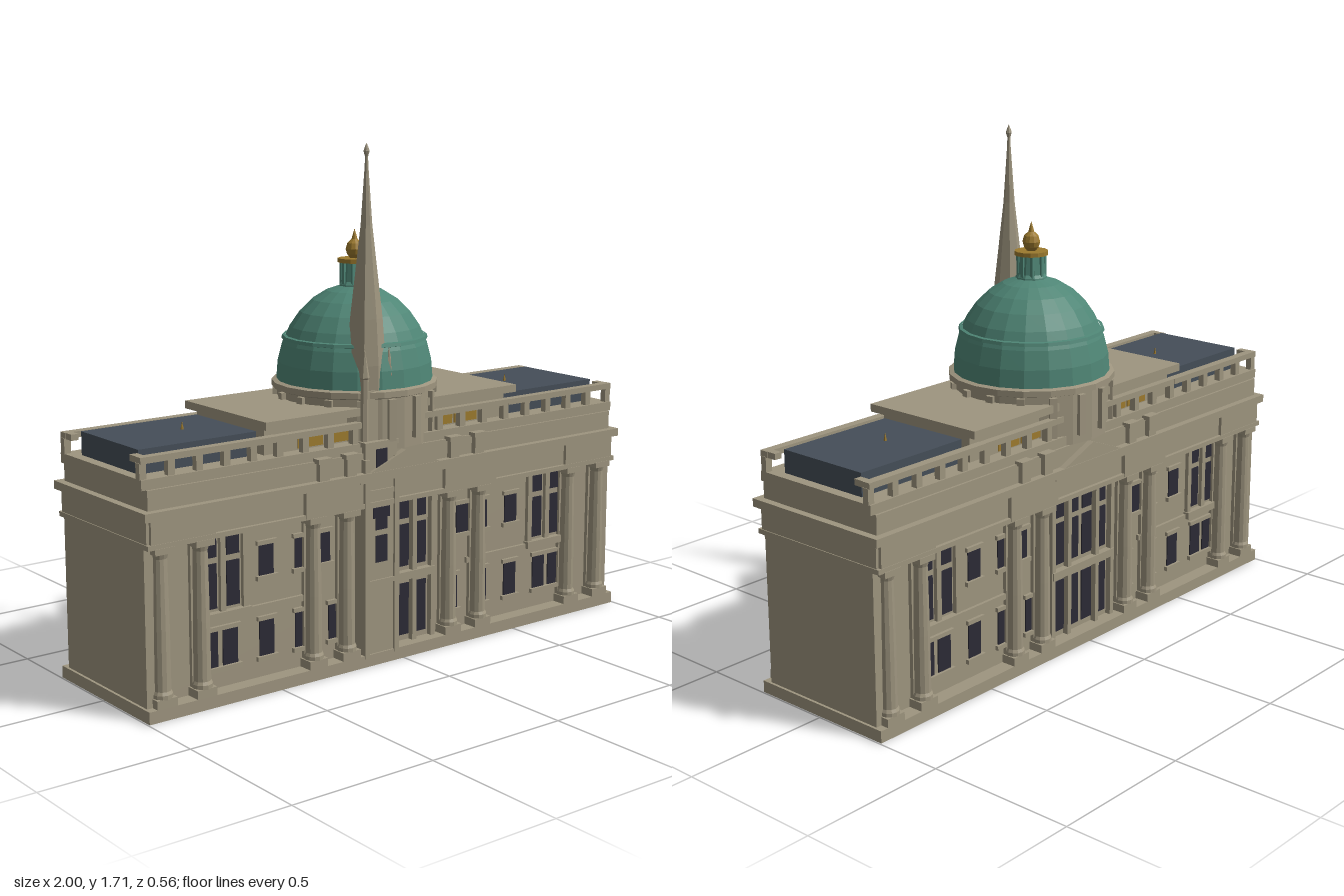
import * as THREE from 'three';

const mat = (name, color) => {
  const m = new THREE.MeshStandardMaterial({ color, flatShading: true });
  m.name = name;
  return m;
};

export function createModel() {
  const root = new THREE.Group();
  root.name = 'domedHall';
  const stone = mat('stone', 0x9e957f);
  const green = mat('copperGreen', 0x4f8676);
  const slate = mat('slate', 0x454e58);
  const glass = mat('darkGlass', 0x2b2a35);
  const gold = mat('gold', 0x9c7a2e);

  const add = (name, geo, m, parent = root) => {
    const mesh = new THREE.Mesh(geo, m);
    mesh.name = name;
    parent.add(mesh);
    return mesh;
  };
  // box given by its extents
  const box = (name, x0, x1, y0, y1, z0, z1, m = stone, parent = root) => {
    const b = add(name, new THREE.BoxGeometry(x1 - x0, y1 - y0, z1 - z0), m, parent);
    b.position.set((x0 + x1) / 2, (y0 + y1) / 2, (z0 + z1) / 2);
    return b;
  };
  const lathe = (name, pts, sides, m, x = 0, z = 0, parent = root) => {
    const g = new THREE.LatheGeometry(pts.map(p => new THREE.Vector2(p[0], p[1])), sides);
    const l = add(name, g, m, parent);
    l.position.set(x, 0, z);
    return l;
  };

  // main mass and horizontal mouldings
  box('plinth', -0.995, 0.995, 0, 0.04, -0.268, 0.268);
  box('mainBody', -0.96, 0.96, 0.04, 0.56, -0.215, 0.215);
  box('entablature', -0.985, 0.985, 0.55, 0.63, -0.255, 0.255);
  box('architraveMoulding', -0.988, 0.988, 0.54, 0.556, -0.268, 0.268);
  box('cornice', -1, 1, 0.63, 0.657, -0.275, 0.275);
  box('attic', -0.975, 0.975, 0.657, 0.72, -0.25, 0.25);
  box('parapetBase', -0.99, 0.99, 0.72, 0.752, -0.242, 0.242);

  // upper roof storey, centre slab and slate roofs
  box('roofStorey', -0.51, 0.51, 0.752, 0.84, -0.19, 0.19);
  box('roofSlab', -0.53, 0.53, 0.84, 0.866, -0.23, 0.23);
  for (const s of [-1, 1]) {
    const mid = s * 0.74;
    box('slateRoof', mid - 0.215, mid + 0.215, 0.752, 0.828, -0.17, 0.17, slate);
    lathe('roofFinial', [[0.006, 0.825], [0.004, 0.835], [0, 0.855]], 6, gold, s * 0.69);
    box('endWall', s * 0.97 - 0.016, s * 0.97 + 0.016, 0.04, 0.55, -0.24, 0.24);
  }

  // column: square base, tapered shaft, capital
  const column = (x, parent) => {
    box('columnBase', x - 0.036, x + 0.036, 0.04, 0.068, 0.2, 0.268, stone, parent);
    lathe('columnShaft', [[0.033, 0.066], [0.033, 0.08], [0.028, 0.09], [0.027, 0.28],
      [0.023, 0.505], [0.029, 0.525]], 12, stone, x, 0.238, parent);
    box('columnCapital', x - 0.034, x + 0.034, 0.522, 0.542, 0.205, 0.27, stone, parent);
    box('pilaster', x - 0.03, x + 0.03, 0.04, 0.55, 0.2, 0.228, stone, parent);
  };
  // window: dark pane with sill and lintel
  const win = (x, y0, y1, w, parent, trim = true) => {
    box('windowPane', x - w, x + w, y0, y1, 0.212, 0.219, glass, parent);
    if (!trim) return;
    box('windowSill', x - w - 0.012, x + w + 0.012, y0 - 0.015, y0, 0.212, 0.228, stone, parent);
    box('windowLintel', x - w - 0.01, x + w + 0.01, y1, y1 + 0.014, 0.212, 0.226, stone, parent);
  };

  // one facade, used for the front and, turned around, for the back
  const facade = (name) => {
    const f = new THREE.Group();
    f.name = name;
    root.add(f);
    for (const s of [-1, 1]) {
      for (const x of [0.22, 0.355, 0.785, 0.93]) column(s * x, f);
      for (const x of [0.25, 0.385, 0.525, 0.665, 0.74]) win(s * x, 0.11, 0.228, 0.028, f);
      for (const x of [0.3, 0.385, 0.525]) win(s * x, 0.375, 0.475, 0.028, f);
      for (const x of [0.652, 0.737]) {
        win(s * x, 0.3, 0.445, 0.024, f, false);
        win(s * x, 0.465, 0.535, 0.024, f, false);
      }
      for (const x of [0.61, 0.695, 0.775])
        box('windowPier', s * x - 0.01, s * x + 0.01, 0.28, 0.54, 0.21, 0.229, stone, f);
      box('windowBalcony', s * 0.695 - 0.1, s * 0.695 + 0.1, 0.265, 0.29, 0.21, 0.238, stone, f);
      box('stringCourse', s * 0.455 - 0.14, s * 0.455 + 0.14, 0.262, 0.282, 0.21, 0.226, stone, f);
      // tall central windows
      for (const x of [0.035, 0.11]) {
        win(s * x, 0.06, 0.24, 0.026, f, false);
        win(s * x, 0.3, 0.445, 0.025, f, false);
        win(s * x, 0.465, 0.54, 0.025, f, false);
      }
      for (const x of [0.073, 0.155])
        box('centralPier', s * x - 0.009, s * x + 0.009, 0.04, 0.55, 0.21, 0.235, stone, f);
      // pedestals above the column pairs
      for (const x of [0.22, 0.33]) {
        box('pedestal', s * x - 0.02, s * x + 0.02, 0.657, 0.715, 0.24, 0.268, stone, f);
        box('pedestalCap', s * x - 0.027, s * x + 0.027, 0.715, 0.73, 0.235, 0.274, stone, f);
      }
      box('breakForward', s * 0.29 - 0.115, s * 0.29 + 0.115, 0.545, 0.635, 0.25, 0.27, stone, f);
      box('endBreakForward', s * 0.86 - 0.115, s * 0.86 + 0.115, 0.545, 0.635, 0.25, 0.266, stone, f);
      for (const x of [0.22, 0.33])
        box('goldPanel', s * x - 0.05, s * x + 0.05, 0.757, 0.79, 0.188, 0.194, gold, f);
      // balustrade
      box('handrail', s * 0.74 - 0.25, s * 0.74 + 0.25, 0.8, 0.82, 0.21, 0.24, stone, f);
      box('innerHandrail', s * 0.3 - 0.19, s * 0.3 + 0.19, 0.8, 0.82, 0.212, 0.238, stone, f);
      for (let i = 0; i < 9; i++) {
        const x = s * (0.18 + i * 0.1);
        box('balusterPost', x - 0.012, x + 0.012, 0.75, 0.802, 0.214, 0.236, stone, f);
      }
      box('railReturn', s * 0.975 - 0.013, s * 0.975 + 0.013, 0.8, 0.82, 0.175, 0.24, stone, f);
    }
    box('centralSpandrel', -0.16, 0.16, 0.258, 0.285, 0.21, 0.24, stone, f);
    // pediment
    const tri = new THREE.Shape([[-0.19, 0.625], [0.19, 0.625], [0.19, 0.64], [0, 0.715], [-0.19, 0.64]]
      .map(p => new THREE.Vector2(p[0], p[1])));
    const ped = add('pediment', new THREE.ExtrudeGeometry(tri, { depth: 0.035, bevelEnabled: false }), stone, f);
    ped.position.z = 0.238;
    return f;
  };
  facade('frontFacade');
  facade('backFacade').rotation.y = Math.PI;

  // drum with buttress blocks
  lathe('drum', [[0.265, 0.72], [0.265, 0.89], [0.28, 0.895], [0.28, 0.915], [0.262, 0.92]], 20, stone);
  for (let i = 0; i < 16; i++) {
    const g = new THREE.Group();
    g.name = 'drumButtress';
    g.rotation.y = (i + 0.5) / 16 * Math.PI * 2;
    box('buttressBlock', -0.013, 0.013, 0.75, 0.888, 0.25, 0.277, stone, g);
    root.add(g);
  }

  // dome with rib band, lantern and finial
  const domePts = [];
  for (let i = 0; i <= 7; i++) {
    const a = i / 7 * 1.4;
    domePts.push([0.264 * Math.cos(a), 0.915 + 0.322 * Math.sin(a)]);
  }
  domePts.push([0, 1.24]);
  lathe('dome', domePts, 20, green);
  lathe('domeBand', [[0.238, 1.053], [0.246, 1.055], [0.243, 1.066], [0.232, 1.068]], 20, green);
  lathe('lantern', [[0.056, 1.21], [0.052, 1.235], [0.045, 1.245], [0.041, 1.31]], 10, green);
  for (let i = 0; i < 8; i++) {
    const a = i / 8 * Math.PI * 2, x = 0.043 * Math.cos(a), z = 0.043 * Math.sin(a);
    box('lanternRib', x - 0.005, x + 0.005, 1.23, 1.31, z - 0.005, z + 0.005, green);
  }
  lathe('lanternCap', [[0, 1.308], [0.056, 1.308], [0.056, 1.322], [0, 1.322]], 14, gold);
  lathe('finial', [[0.014, 1.32], [0.025, 1.335], [0.03, 1.352], [0.024, 1.372],
    [0.01, 1.385], [0.006, 1.4], [0, 1.42]], 12, gold);

  // spire tower set against the front
  const tower = new THREE.Group();
  tower.name = 'spireTower';
  root.add(tower);
  const tx = -0.095, tz = 0.183;
  box('towerShaft', tx - 0.065, tx + 0.065, 0.03, 0.75, 0.11, 0.262, stone, tower);
  box('towerBelfry', tx - 0.058, tx + 0.058, 0.75, 0.92, 0.125, 0.245, stone, tower);
  for (const y of [0.275, 0.58, 0.74])
    box('towerBand', tx - 0.07, tx + 0.07, y, y + 0.016, 0.115, 0.268, stone, tower);
  for (const [y0, y1, w] of [[0.35, 0.44, 0.024], [0.46, 0.5, 0.024], [0.5, 0.535, 0.035], [0.655, 0.73, 0.023]])
    box('towerWindow', tx - w, tx + w, y0, y1, 0.26, 0.266, glass, tower);
  for (const s of [-1, 1]) {
    box('towerButtress', tx + s * 0.062 - 0.01, tx + s * 0.062 + 0.01, 0.03, 0.7, 0.2, 0.27, stone, tower);
    for (const z of [0.13, 0.238])
      lathe('pinnacle', [[0.013, 0.75], [0.013, 0.96], [0.016, 0.965], [0, 1.06]], 6, stone, tx + s * 0.05, z, tower);
  }
  lathe('spire', [[0.064, 0.9], [0.064, 1.0], [0.053, 1.15], [0.036, 1.3], [0.019, 1.45],
    [0.006, 1.64], [0.005, 1.67]], 8, stone, tx, tz, tower);
  lathe('spireTip', [[0.004, 1.665], [0.01, 1.685], [0.007, 1.695], [0, 1.712]], 8, stone, tx, tz, tower);

  return root;
}
